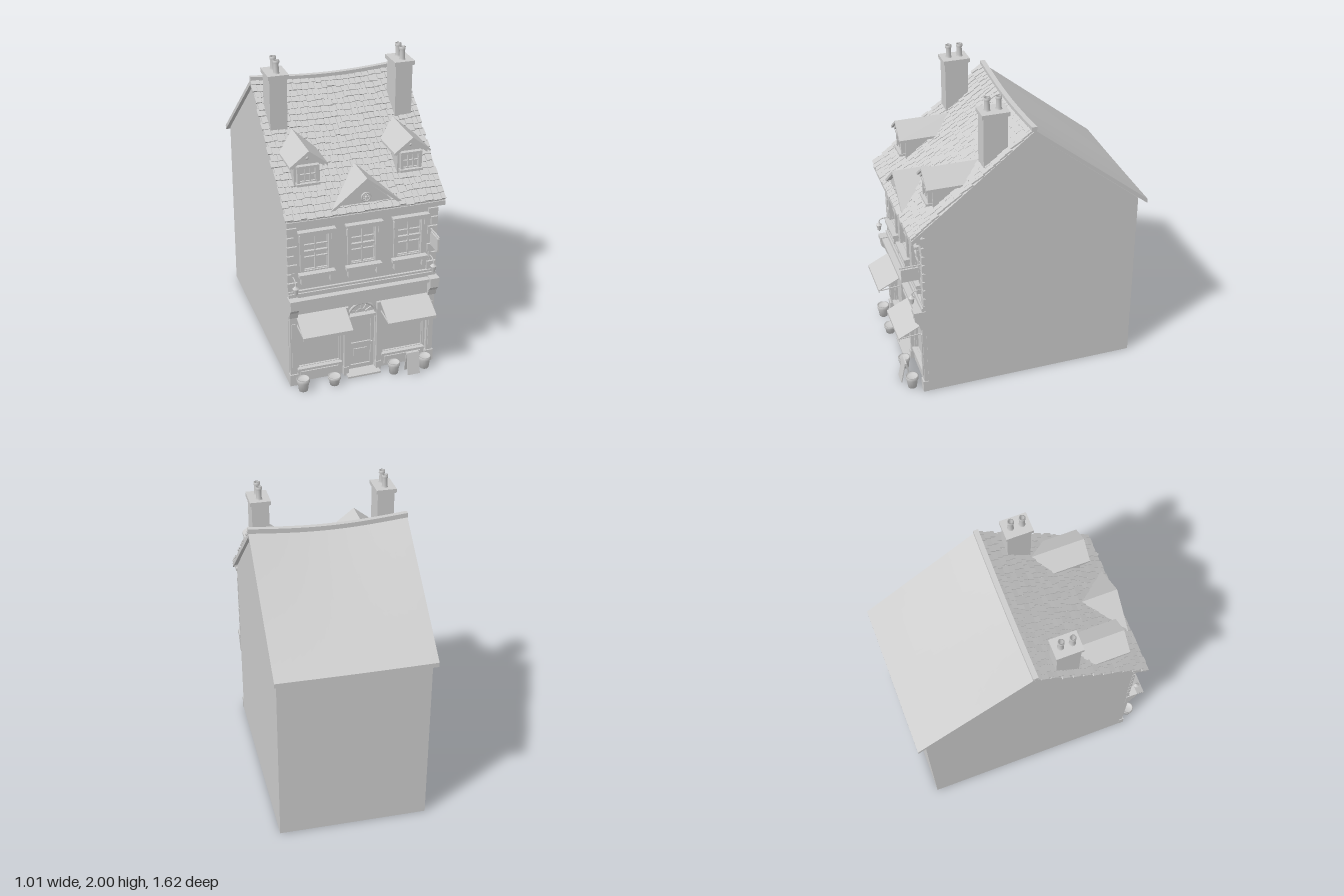
import * as THREE from 'three';
import { mergeGeometries } from 'three/addons/utils/BufferGeometryUtils.js';

const stone = new THREE.MeshStandardMaterial({ color: 0xcccccc, side: THREE.DoubleSide });
stone.name = 'pale grey stone';

let seed = 7;
const rand = () => (seed = (seed * 16807) % 2147483647) / 2147483647;

function add(parent, name, geo, x = 0, y = 0, z = 0) {
  const m = new THREE.Mesh(geo, stone);
  m.name = name;
  m.position.set(x, y, z);
  parent.add(m);
  return m;
}
// Box given by its limits on each axis
function block(parent, name, x0, x1, y0, y1, z0, z1) {
  return add(parent, name, new THREE.BoxGeometry(x1 - x0, y1 - y0, z1 - z0), (x0 + x1) / 2, (y0 + y1) / 2, (z0 + z1) / 2);
}
function group(parent, name, x = 0, y = 0, z = 0) {
  const g = new THREE.Group();
  g.name = name;
  g.position.set(x, y, z);
  parent.add(g);
  return g;
}
const poly = pts => new THREE.Shape(pts.map(p => new THREE.Vector2(...p)));
const extrude = (shape, depth) => new THREE.ExtrudeGeometry(shape, { depth, bevelEnabled: false, curveSegments: 16 });
const rectPath = (x0, x1, y0, y1) => new THREE.Path([[x0, y0], [x1, y0], [x1, y1], [x0, y1]].map(p => new THREE.Vector2(...p)));
// Inverted V roof profile with its tip at the given height
const chevron = (half, base, top, t) => poly([[-half, base], [0, top], [half, base], [half, base - t], [0, top - t], [-half, base - t]]);

// Roof: u runs from the ridge (0) to the eave (1); the ridge sags in the middle
const RIDGE = 1.8, DROP = 0.61, RUN = 0.765, RZ = -0.05;
const sag = x => 0.03 * Math.cos(Math.PI * x);
const roofY = (x, u) => RIDGE - DROP * u - sag(x) * (1 - 0.9 * u);

function roofSlab(parent, name, s, lift) {
  const geo = new THREE.BoxGeometry(1, 0.03, 1, 16, 1, 8);
  const p = geo.attributes.position;
  for (let i = 0; i < p.count; i++) {
    const x = p.getX(i), u = 0.5 + s * p.getZ(i);
    p.setXYZ(i, x, roofY(x, u) + p.getY(i) - 0.015 + lift, RZ + s * u * RUN);
  }
  geo.computeVertexNormals();
  add(parent, name, geo);
}

function buildRoof(parent) {
  const roof = group(parent, 'roof');
  roofSlab(roof, 'backSlope', -1, 0);
  roofSlab(roof, 'frontSlope', 1, -0.012);
  // Uneven slates laid in overlapping courses
  const slates = [], rows = 22, angle = Math.atan2(DROP, RUN);
  for (let r = 0; r < rows; r++) {
    let x = -0.505 - (r % 2) * 0.01 + rand() * 0.01;
    while (x < 0.485) {
      const w = Math.min(0.03 + rand() * 0.028, 0.503 - x);
      const u = (r + 0.5 + (rand() - 0.5) * 0.22) / rows;
      const geo = new THREE.BoxGeometry(w - 0.003, 0.01, 0.054);
      geo.rotateX(angle - 0.1 - rand() * 0.06);
      geo.translate(x + w / 2, roofY(x + w / 2, u) + 0.001 + rand() * 0.004, RZ + u * RUN);
      slates.push(geo);
      x += w;
    }
  }
  add(roof, 'slates', mergeGeometries(slates));
  // Ridge capping follows the sag
  const cap = new THREE.BoxGeometry(1.005, 0.03, 0.032, 16);
  const p = cap.attributes.position;
  for (let i = 0; i < p.count; i++) p.setY(i, p.getY(i) + RIDGE + 0.004 - sag(p.getX(i)));
  add(roof, 'ridgeCap', cap, 0, 0, RZ);
}

function buildWalls(parent, windowsX) {
  const walls = group(parent, 'walls');
  // Front wall pierced for the windows, shopfront and door
  const front = poly([[-0.48, 0], [0.48, 0], [0.48, 1.19], [-0.48, 1.19]]);
  for (const x of windowsX) front.holes.push(rectPath(x - 0.08, x + 0.08, 0.8, 1.05));
  for (const s of [-1, 1]) front.holes.push(rectPath(s * 0.28 - 0.14, s * 0.28 + 0.14, 0.1, 0.42));
  const door = new THREE.Path();
  door.moveTo(-0.09, 0.01).lineTo(0.09, 0.01).lineTo(0.09, 0.41);
  door.absarc(0, 0.41, 0.09, 0, Math.PI, false);
  door.lineTo(-0.09, 0.01);
  front.holes.push(door);
  add(walls, 'frontWall', extrude(front, 0.04), 0, 0, 0.6);
  block(walls, 'backWall', -0.48, 0.48, 0, 1.2, -0.76, -0.72);
  for (const s of [-1, 1]) {
    block(walls, 'sideWall', s * 0.46 - 0.02, s * 0.46 + 0.02, 0, 1.2, -0.76, 0.64);
    const gable = extrude(poly([[-0.64, 1.195], [0.76, 1.195], [0.05, 1.765]]), 0.04);
    gable.rotateY(Math.PI / 2);
    add(walls, 'gable', gable, s * 0.46 - 0.02, 0, 0);
  }
  // Floor with small bricks, stopping short of the back wall
  block(walls, 'floor', -0.45, 0.45, 0.004, 0.02, -0.39, 0.62);
  const bricks = [];
  for (let r = 0; r < 32; r++) for (let c = 0; c < 16; c++) {
    const b = new THREE.BoxGeometry(0.05, 0.006, 0.027);
    b.translate(-0.42 + c * 0.0545 + (r % 2) * 0.02, 0.004, -0.37 + r * 0.031);
    bricks.push(b);
  }
  add(walls, 'floorBricks', mergeGeometries(bricks));
}

// Glass with frame and glazing bars, centred on x, standing on y = 0
function glazing(parent, w, h, cols, rows, t) {
  block(parent, 'glass', -w / 2, w / 2, 0, h, -0.028, -0.022);
  for (let i = 0; i <= cols; i++) block(parent, 'upright', -w / 2 + w * i / cols - t / 2, -w / 2 + w * i / cols + t / 2, 0, h, -0.024, -0.008);
  for (let i = 0; i <= rows; i++) block(parent, 'rail', -w / 2, w / 2, h * i / rows - t / 2, h * i / rows + t / 2, -0.024, -0.009);
}

function upperWindow(parent, x) {
  const g = group(parent, 'upperWindow', x, 0.8, 0.64);
  glazing(g, 0.16, 0.25, 2, 3, 0.009);
  block(g, 'meetingRail', -0.08, 0.08, 0.115, 0.13, -0.024, -0.004);
  for (const s of [-1, 1]) {
    block(g, 'architrave', s * 0.09 - 0.012, s * 0.09 + 0.012, 0, 0.25, -0.01, 0.014);
    block(g, 'lintelBracket', s * 0.1 - 0.008, s * 0.1 + 0.008, 0.2, 0.25, 0, 0.024);
    block(g, 'sillBracket', s * 0.092 - 0.009, s * 0.092 + 0.009, -0.08, -0.03, 0, 0.03);
  }
  block(g, 'lintel', -0.105, 0.105, 0.245, 0.268, -0.01, 0.025);
  block(g, 'lintelCap', -0.118, 0.118, 0.268, 0.28, -0.01, 0.038);
  block(g, 'sill', -0.115, 0.115, -0.03, -0.008, -0.02, 0.04);
  block(g, 'apron', -0.09, 0.09, -0.06, -0.03, 0, 0.012);
}

function shopfront(parent, s) {
  const g = group(parent, 'shopWindow', s * 0.28, 0.1, 0.64);
  glazing(g, 0.28, 0.32, 1, 1, 0.014);
  block(g, 'windowSill', -0.145, 0.145, -0.012, 0.004, -0.02, 0.02);
  block(g, 'stallPanel', -0.125, 0.125, -0.085, -0.025, 0, 0.01);
  // Pilaster with console on top
  const p = group(parent, 'pilaster', s * 0.455, 0, 0.64);
  block(p, 'shaft', -0.022, 0.022, 0, 0.5, 0, 0.025);
  block(p, 'plinth', -0.027, 0.027, 0, 0.08, 0, 0.034);
  block(p, 'panel', -0.012, 0.012, 0.12, 0.45, 0.02, 0.031);
  const con = extrude(poly([[0, 0.5], [0.035, 0.5], [0.045, 0.54], [0.07, 0.57], [0.07, 0.61], [0, 0.61]]), 0.054);
  con.rotateY(-Math.PI / 2);
  add(p, 'console', con, 0.027, 0, 0);
  block(p, 'consoleCap', -0.031, 0.031, 0.61, 0.638, 0, 0.076);
  // Sloping awning with a short valance
  const awn = extrude(poly([[0.01, 0.51], [0.17, 0.43], [0.17, 0.408], [0.166, 0.408], [0.166, 0.425], [0.01, 0.502]]), 0.32);
  awn.rotateY(-Math.PI / 2);
  add(parent, 'awning', awn, s * 0.275 + 0.16, 0, 0.64);
  for (const e of [-0.155, 0.155]) {
    const arm = block(parent, 'awningArm', s * 0.275 + e - 0.003, s * 0.275 + e + 0.003, 0.427, 0.433, 0.64, 0.8);
    arm.rotation.x = 0.08;
  }
}

function doorway(parent) {
  const g = group(parent, 'doorway', 0, 0, 0.64);
  block(g, 'doorLeaf', -0.09, 0.09, 0, 0.41, -0.036, -0.024);
  for (const s of [-1, 1]) {
    block(g, 'stile', s * 0.077 - 0.011, s * 0.077 + 0.011, 0.01, 0.4, -0.026, -0.014);
    block(g, 'doorPost', s * 0.108 - 0.014, s * 0.108 + 0.014, 0, 0.5, 0, 0.022);
    block(g, 'postBase', s * 0.108 - 0.017, s * 0.108 + 0.017, 0, 0.06, 0, 0.028);
  }
  for (const y of [0.025, 0.19, 0.385]) block(g, 'doorRail', -0.07, 0.07, y - 0.014, y + 0.014, -0.026, -0.014);
  block(g, 'lowerPanel', -0.045, 0.045, 0.06, 0.155, -0.026, -0.017);
  add(g, 'doorKnob', new THREE.SphereGeometry(0.007, 10, 8), 0.072, 0.2, -0.009);
  block(g, 'transom', -0.1, 0.1, 0.402, 0.42, -0.03, 0.012);
  // Fanlight with radiating bars
  add(g, 'fanlightGlass', new THREE.CircleGeometry(0.092, 20, 0, Math.PI), 0, 0.41, -0.028);
  for (const r of [0.035, 0.093]) add(g, 'fanlightArch', new THREE.TorusGeometry(r, r > 0.05 ? 0.009 : 0.004, 6, 20, Math.PI), 0, 0.412, r > 0.05 ? 0 : -0.024);
  for (let i = 1; i < 6; i++) {
    const a = i * Math.PI / 6;
    const bar = add(g, 'fanlightBar', new THREE.BoxGeometry(0.058, 0.005, 0.01), 0.063 * Math.cos(a), 0.412 + 0.063 * Math.sin(a), -0.024);
    bar.rotation.z = a;
  }
  block(g, 'doorstep', -0.11, 0.11, 0, 0.012, -0.04, 0.07);
}

function dormer(parent, x) {
  const g = group(parent, 'dormer', x, 0, 0);
  add(g, 'dormerBody', extrude(poly([[-0.08, 1.25], [0.08, 1.25], [0.08, 1.47], [0, 1.54], [-0.08, 1.47]]), 0.25), 0, 0, 0.3);
  add(g, 'dormerRoof', extrude(chevron(0.116, 1.475, 1.565, 0.016), 0.37), 0, 0, 0.225);
  add(g, 'dormerBarge', extrude(chevron(0.1, 1.472, 1.55, 0.02), 0.03), 0, 0, 0.55);
  add(g, 'dormerRoundel', new THREE.SphereGeometry(0.011, 10, 8), 0, 1.505, 0.553);
  const win = group(g, 'dormerWindow', 0, 1.36, 0.578);
  glazing(win, 0.1, 0.09, 3, 2, 0.006);
  for (const s of [-1, 1]) block(win, 'jamb', s * 0.058 - 0.008, s * 0.058 + 0.008, -0.01, 0.1, -0.03, -0.002);
  block(win, 'head', -0.07, 0.07, 0.09, 0.105, -0.03, 0.002);
  block(win, 'sill', -0.072, 0.072, -0.02, -0.005, -0.03, 0.012);
}

function chimney(parent, x) {
  const g = group(parent, 'chimney', x, 0, 0.17);
  block(g, 'stack', -0.054, 0.054, 1.55, 1.895, -0.075, 0.075);
  block(g, 'stackCap', -0.065, 0.065, 1.892, 1.918, -0.086, 0.086);
  const pot = [[0.021, 0], [0.017, 0.01], [0.016, 0.06], [0.02, 0.065], [0.02, 0.082], [0.013, 0.082], [0.012, 0]];
  for (const z of [-0.036, 0.036]) add(g, 'chimneyPot', new THREE.LatheGeometry(pot.map(p => new THREE.Vector2(...p)), 14), 0, 1.918, z);
}

function streetItems(parent) {
  // Tapered planters
  const profile = [[0, 0], [0.7, 0], [0.88, 0.75], [1, 0.75], [1, 1], [0.85, 1], [0.82, 0.85], [0, 0.85]];
  for (const [x, h, r] of [[-0.415, 0.085, 0.042], [-0.21, 0.06, 0.042], [0.19, 0.08, 0.04], [0.4, 0.085, 0.042]])
    add(parent, 'planter', new THREE.LatheGeometry(profile.map(p => new THREE.Vector2(p[0] * r, p[1] * h)), 16), x, 0, 0.73);
  // Folding pavement board
  for (const s of [-1, 1]) {
    const leaf = add(parent, 'pavementBoard', new THREE.BoxGeometry(0.082, 0.15, 0.007), 0.305, 0.073, 0.755 + s * 0.018);
    leaf.rotation.x = -s * 0.2;
  }
  // Hanging sign on its bracket
  block(parent, 'signBoard', 0.434, 0.446, 0.86, 0.95, 0.665, 0.775);
  block(parent, 'signBracket', 0.436, 0.444, 0.958, 0.966, 0.64, 0.785);
  for (const z of [0.69, 0.75]) block(parent, 'signHook', 0.438, 0.442, 0.945, 0.96, z - 0.002, z + 0.002);
  // Wall lanterns
  for (const x of [-0.45, 0.44]) {
    const g = group(parent, 'lantern', x, 0.7, 0.715);
    add(g, 'lanternGlass', new THREE.CylinderGeometry(0.018, 0.011, 0.04, 6), 0, 0.012, 0);
    add(g, 'lanternTop', new THREE.ConeGeometry(0.022, 0.02, 6), 0, 0.042, 0);
    add(g, 'lanternTip', new THREE.SphereGeometry(0.006, 8, 6), 0, -0.012, 0);
    const curve = new THREE.QuadraticBezierCurve3(new THREE.Vector3(0, 0.05, 0), new THREE.Vector3(0, 0.09, 0), new THREE.Vector3(0, 0.075, -0.075));
    add(g, 'lanternArm', new THREE.TubeGeometry(curve, 8, 0.004, 6));
    block(g, 'lanternPlate', -0.01, 0.01, 0.05, 0.1, -0.075, -0.062);
  }
}

export function createModel() {
  const house = new THREE.Group();
  house.name = 'townhouse';
  const windowsX = [-0.3, 0, 0.3];
  buildWalls(house, windowsX);
  buildRoof(house);

  const facade = group(house, 'facade');
  windowsX.forEach(x => upperWindow(facade, x));
  for (const s of [-1, 1]) shopfront(facade, s);
  doorway(facade);
  // Shop fascia, cornice and string courses
  block(facade, 'fascia', -0.43, 0.43, 0.51, 0.6, 0.63, 0.66);
  block(facade, 'fasciaMould', -0.43, 0.43, 0.595, 0.612, 0.63, 0.68);
  block(facade, 'shopCornice', -0.48, 0.48, 0.612, 0.632, 0.63, 0.705);
  block(facade, 'lowerCourse', -0.48, 0.48, 0.632, 0.66, 0.63, 0.665);
  block(facade, 'upperCourse', -0.48, 0.48, 0.66, 0.674, 0.63, 0.655);
  // Corner quoins, alternately long and short
  for (const s of [-1, 1]) for (let i = 0; i < 7; i++) {
    const w = i % 2 ? 0.042 : 0.062;
    add(facade, 'quoin', new THREE.BoxGeometry(w, 0.054, 0.02), s * (0.483 - w / 2), 0.705 + i * 0.062, 0.643);
  }
  // Eaves cornice with dentils
  block(facade, 'frieze', -0.48, 0.48, 1.112, 1.126, 0.63, 0.655);
  block(facade, 'corniceBed', -0.48, 0.48, 1.126, 1.16, 0.63, 0.66);
  block(facade, 'eavesCornice', -0.49, 0.49, 1.16, 1.178, 0.63, 0.69);
  block(facade, 'gutter', -0.495, 0.495, 1.176, 1.196, 0.66, 0.712);
  for (let i = 0; i < 36; i++) add(facade, 'dentil', new THREE.BoxGeometry(0.014, 0.022, 0.024), -0.4725 + i * 0.027, 1.148, 0.668);

  // Pediment with a roundel
  const ped = group(house, 'pediment');
  add(ped, 'tympanum', extrude(poly([[-0.2, 1.19], [0.2, 1.19], [0, 1.365]]), 0.26), 0, 0, 0.42);
  add(ped, 'pedimentRoof', extrude(chevron(0.226, 1.207, 1.39, 0.022), 0.24), 0, 0, 0.46);
  block(ped, 'pedimentBase', -0.21, 0.21, 1.186, 1.204, 0.6, 0.7);
  add(ped, 'roundelRing', new THREE.TorusGeometry(0.027, 0.006, 8, 20), 0, 1.262, 0.682);
  add(ped, 'roundelBoss', new THREE.SphereGeometry(0.011, 10, 8), 0, 1.262, 0.682);
  for (let i = 0; i < 8; i++) add(ped, 'roundelPetal', new THREE.SphereGeometry(0.007, 8, 6), 0.017 * Math.cos(i * Math.PI / 4), 1.262 + 0.017 * Math.sin(i * Math.PI / 4), 0.68);

  for (const s of [-1, 1]) {
    dormer(house, s * 0.325);
    chimney(house, s * 0.4 - 0.005);
  }
  streetItems(house);
  return house;
}
